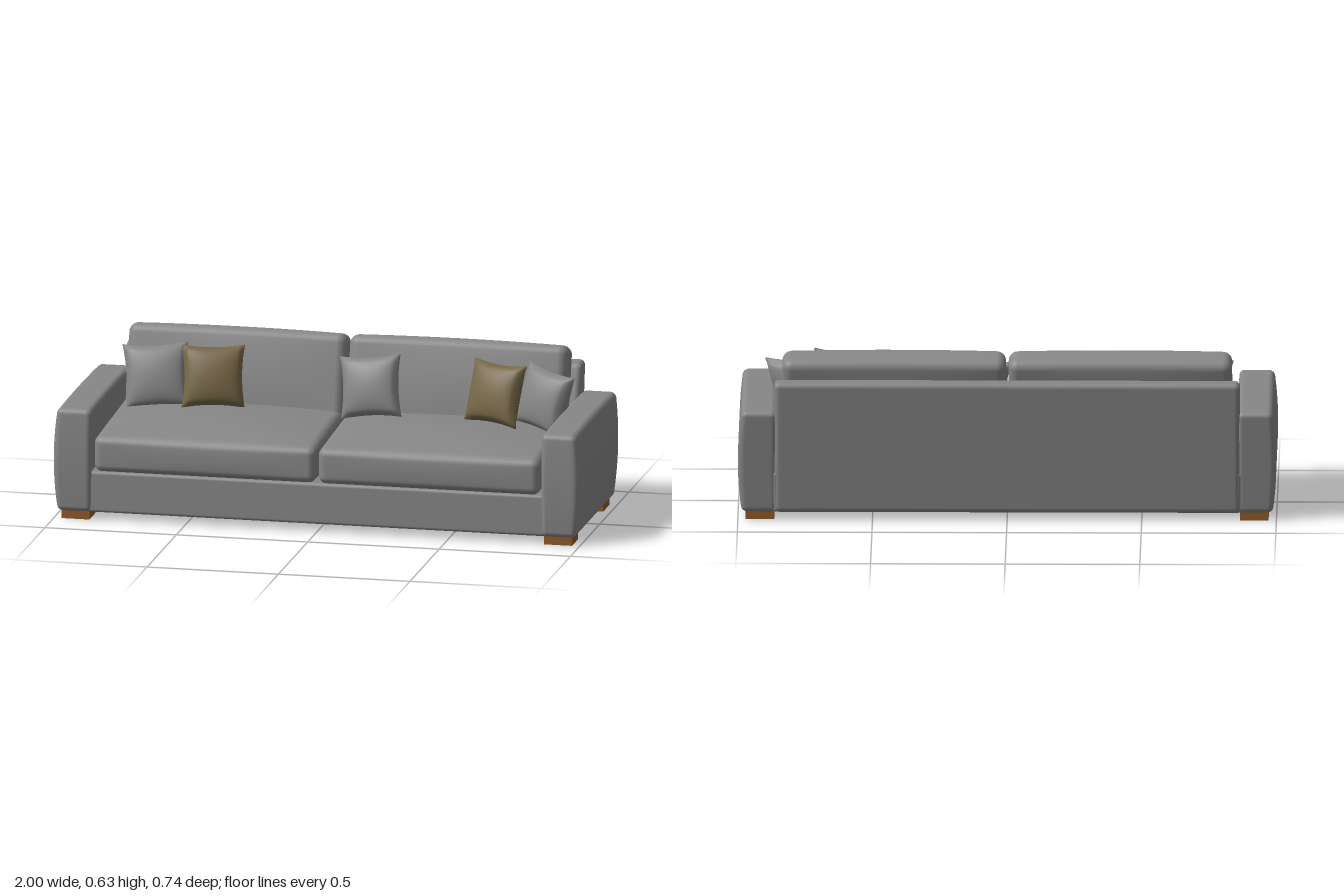
import * as THREE from 'three';
import { mergeVertices } from 'three/addons/utils/BufferGeometryUtils.js';

const material = (name, color) => {
  const m = new THREE.MeshStandardMaterial({ color });
  m.name = name;
  return m;
};

// Merge the seams so that the normals run smoothly round every edge
function smooth(geometry) {
  geometry.deleteAttribute('uv');
  geometry.deleteAttribute('normal');
  const merged = mergeVertices(geometry, 1e-5);
  merged.computeVertexNormals();
  return merged;
}

// Rounded block with inner grid points; bend(p, u, v, w) may move each point (u, v, w in -1..1)
function softBlock(w, h, d, r, bend) {
  const N = 20, K = 4;
  const geo = new THREE.BoxGeometry(2, 2, 2, N, N, N);
  const pos = geo.attributes.position;
  const half = [w / 2, h / 2, d / 2];
  const p = new THREE.Vector3(), core = new THREE.Vector3();
  const edge = 1 - (2 * K) / N;
  const place = (t, s) => {
    const a = Math.abs(t);
    const q = a <= edge ? (a / edge) * (s - r) : s - r + r * Math.tan(((a - edge) / (1 - edge)) * Math.PI / 4);
    return Math.sign(t) * q;
  };
  for (let i = 0; i < pos.count; i++) {
    p.fromBufferAttribute(pos, i);
    p.set(place(p.x, half[0]), place(p.y, half[1]), place(p.z, half[2]));
    core.set(
      THREE.MathUtils.clamp(p.x, r - half[0], half[0] - r),
      THREE.MathUtils.clamp(p.y, r - half[1], half[1] - r),
      THREE.MathUtils.clamp(p.z, r - half[2], half[2] - r));
    p.sub(core).setLength(r).add(core);
    if (bend) bend(p, p.x / half[0], p.y / half[1], p.z / half[2]);
    pos.setXYZ(i, p.x, p.y, p.z);
  }
  return smooth(geo);
}

// Square pillow: full in the middle, thin at the seam, with pointed corners
function pillowShape(size, thickness) {
  const geo = new THREE.BoxGeometry(2, 2, 2, 20, 20, 1);
  const pos = geo.attributes.position;
  for (let i = 0; i < pos.count; i++) {
    const u = pos.getX(i), v = pos.getY(i), side = Math.sign(pos.getZ(i));
    const full = Math.pow(Math.max(0, (1 - u * u) * (1 - v * v)), 0.42);
    pos.setXYZ(i,
      u * size / 2 * (1 - 0.09 * (1 - v * v)),
      v * size / 2 * (1 - 0.09 * (1 - u * u)),
      side * (0.004 + full * thickness / 2));
  }
  return smooth(geo);
}

export function createModel() {
  const fabric = material('grey fabric', 0x878787);
  const accent = material('olive brown fabric', 0x776847);
  const wood = material('wood', 0x8f5a2a);
  const sofa = new THREE.Group();
  sofa.name = 'sofa';

  const add = (name, geometry, mat, x, y, z) => {
    const mesh = new THREE.Mesh(geometry, mat);
    mesh.name = name;
    mesh.position.set(x, y, z);
    sofa.add(mesh);
    return mesh;
  };

  // Base under the seat
  add('base', softBlock(1.74, 0.157, 0.66, 0.012, (p, u, v, w) => {
    if (w < 0) p.z += 0.01 * w * (1 + v);
  }), fabric, 0, 0.1085, 0.02);

  // Back frame, thinner towards the top and leaning backwards
  add('backFrame', softBlock(1.73, 0.505, 0.1, 0.02, (p, u, v, w) => {
    const drop = 0.2525 * (1 - v);
    const front = -0.292 + Math.min(drop * 0.33, 0.06);
    const back = -0.372 + drop * 0.11;
    p.z = THREE.MathUtils.lerp(back, front, (w + 1) / 2);
  }), fabric, 0, 0.2825, 0);

  for (const s of [-1, 1]) {
    const side = s > 0 ? 'left' : 'right';

    // Arm with a bulging outer side and a sloping rear edge
    add(side + 'Arm', softBlock(0.13, 0.392, 0.71, 0.02, (p, u, v, w) => {
      if (u * s > 0) p.x += s * 0.014 * (1 - v * v) * Math.abs(u);
      if (w > 0) p.z += 0.009 * (1 - v * v) * w;
      else p.z += 0.022 * (1 - v) * -w;
      p.y += 0.006 * Math.max(0, v) * (1 - w * w);
    }), fabric, s * 0.921, 0.226, 0.002);

    // Seat cushion, crowned and rising towards the back
    add(side + 'SeatCushion', softBlock(0.842, 0.15, 0.54, 0.03, (p, u, v, w) => {
      const up = (v + 1) / 2;
      p.y += up * (0.03 * (1 - u * u) * (1 - w * w) - 0.014 * w);
      p.z += 0.008 * Math.max(0, w) * (1 - u * u) * (1 - v * v);
    }), fabric, s * 0.426, 0.26, 0.086);

    // Back cushion leaning on the frame
    const cushion = add(side + 'BackCushion', softBlock(0.83, 0.34, 0.122, 0.034, (p, u, v, w) => {
      p.z += 0.012 * w * (1 - u * u) * (1 - v * v);
      p.y += 0.006 * Math.max(0, v) * (1 - u * u);
    }), fabric, s * 0.42, 0.449, -0.2);
    cushion.rotation.x = -0.26;

    // Feet
    for (const [place, z] of [['Front', 0.291], ['Rear', -0.242]])
      add(side + place + 'Foot', new THREE.BoxGeometry(0.106, 0.036, 0.106), wood, s * 0.918, 0.018, z);
  }

  // Loose pillows: name, material, size, position, lean, turn, roll
  const pillows = [
    ['rightGreyPillow', fabric, 0.245, -0.705, 0.455, -0.085, -0.3, 0.12, 0.07],
    ['rightBrownPillow', accent, 0.235, -0.482, 0.473, -0.052, -0.3, 0.2, 0.0],
    ['middleGreyPillow', fabric, 0.235, 0.112, 0.46, -0.075, -0.3, -0.12, 0.12],
    ['leftBrownPillow', accent, 0.235, 0.597, 0.473, -0.025, -0.3, -0.42, 0.0],
    ['leftGreyPillow', fabric, 0.235, 0.775, 0.45, -0.06, -0.25, -0.55, -0.12],
  ];
  for (const [name, mat, size, x, y, z, lean, turn, roll] of pillows) {
    const pillow = add(name, pillowShape(size, 0.095), mat, x, y, z);
    pillow.rotation.set(lean, turn, roll, 'YXZ');
  }
  return sofa;
}
